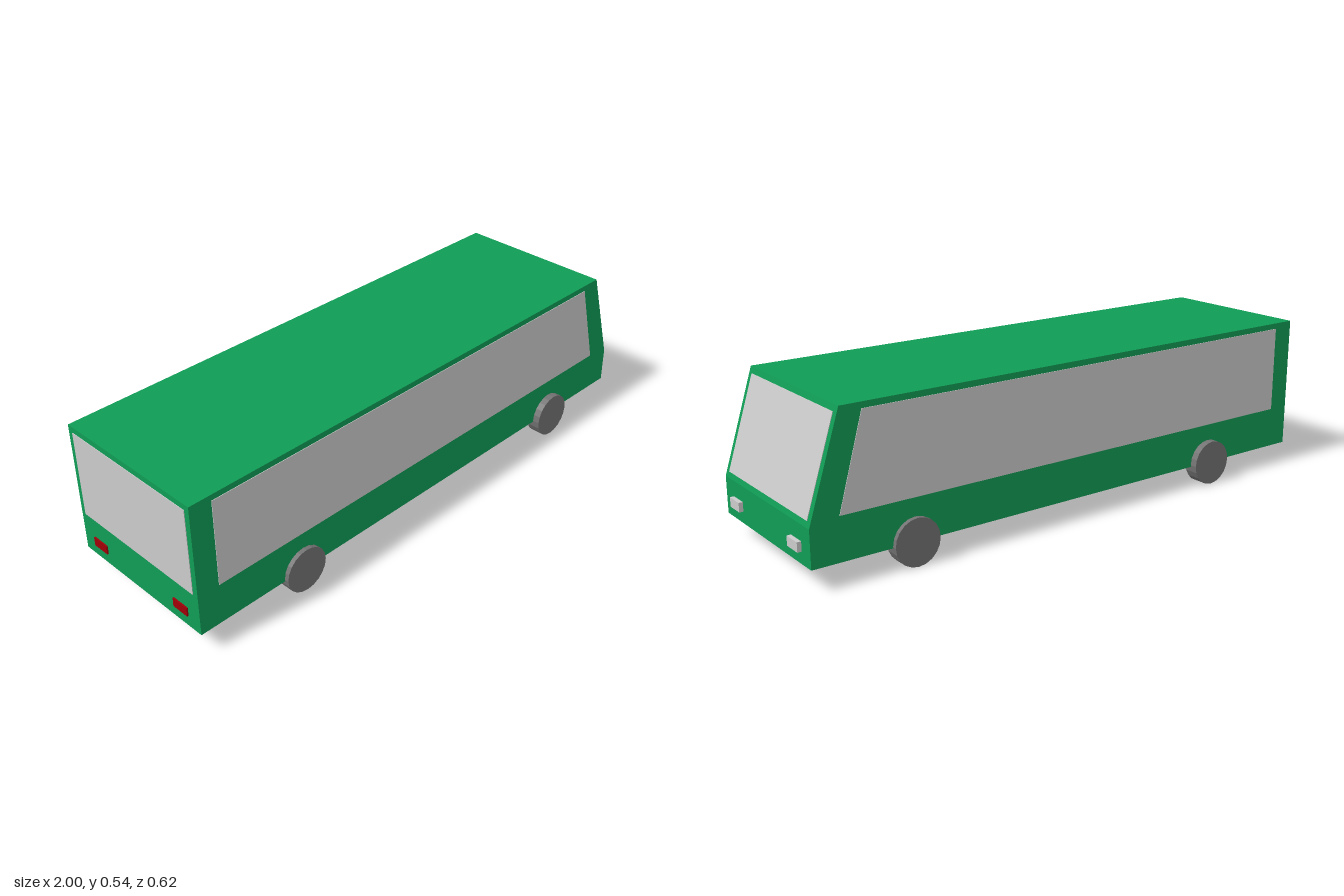
import * as THREE from 'three';

const paint = new THREE.MeshStandardMaterial({ color: 0x109c55, flatShading: true });
const grey = new THREE.MeshStandardMaterial({ color: 0xcccccc, flatShading: true });
const rubber = new THREE.MeshStandardMaterial({ color: 0x737373, flatShading: true });
const red = new THREE.MeshStandardMaterial({ color: 0xa00008, flatShading: true });

// Extrudes an x-y outline to a total width, centred on z = 0
function slab(points, width) {
  const shape = new THREE.Shape(points.map(([x, y]) => new THREE.Vector2(x, y)));
  const geometry = new THREE.ExtrudeGeometry(shape, { depth: width, bevelEnabled: false });
  return geometry.translate(0, 0, -width / 2);
}

export function createModel() {
  const bus = new THREE.Group();
  bus.name = 'bus';
  const add = (name, geometry, material, x = 0, y = 0, z = 0) => {
    const mesh = new THREE.Mesh(geometry, material);
    mesh.name = name;
    mesh.position.set(x, y, z);
    bus.add(mesh);
    return mesh;
  };

  // Body with a sloping nose
  const low = 0.2, high = 0.543, nose = 0.985, brow = 0.875;
  add('body', slab([
    [-0.995, 0.075], [nose, 0.075], [nose, low], [brow, high], [-0.995, high],
  ], 0.57), paint);

  // Side windows, flush with the body
  const sill = 0.219, head = 0.523, thin = 0.004;
  const side = slab([[-0.917, sill], [0.888, sill], [0.803, head], [-0.917, head]], thin);
  for (const s of [1, -1]) {
    add(s > 0 ? 'leftWindow' : 'rightWindow', side, grey, 0, 0, s * 0.285);
  }

  // Windscreen lies along the slope; rear window is upright
  const slopeX = (y) => nose + (brow - nose) * (y - low) / (high - low);
  add('windscreen', slab([
    [slopeX(sill) - thin, sill], [slopeX(sill) + thin / 2, sill],
    [slopeX(head) + thin / 2, head], [slopeX(head) - thin, head],
  ], 0.53), grey);
  add('rearWindow', new THREE.BoxGeometry(thin, head - sill, 0.53), grey,
    -0.995, (head + sill) / 2, 0);

  // Head lamps and tail lamps
  const lamp = new THREE.BoxGeometry(0.03, 0.032, 0.065);
  for (const s of [1, -1]) {
    add('headLamp', lamp, grey, 0.984, 0.131, s * 0.198);
    add('tailLamp', lamp, red, -0.985, 0.131, s * 0.198);
  }

  // Wheels sit slightly unevenly: [name, x, y, z]
  const wheel = new THREE.CylinderGeometry(0.079, 0.079, 0.051, 20).rotateX(Math.PI / 2);
  for (const [name, x, y, z] of [
    ['frontLeftWheel', 0.637, 0.079, 0.285], ['frontRightWheel', 0.637, 0.079, -0.275],
    ['rearLeftWheel', -0.59, 0.082, 0.275], ['rearRightWheel', -0.59, 0.082, -0.285],
  ]) add(name, wheel, rubber, x, y, z);

  return bus;
}
